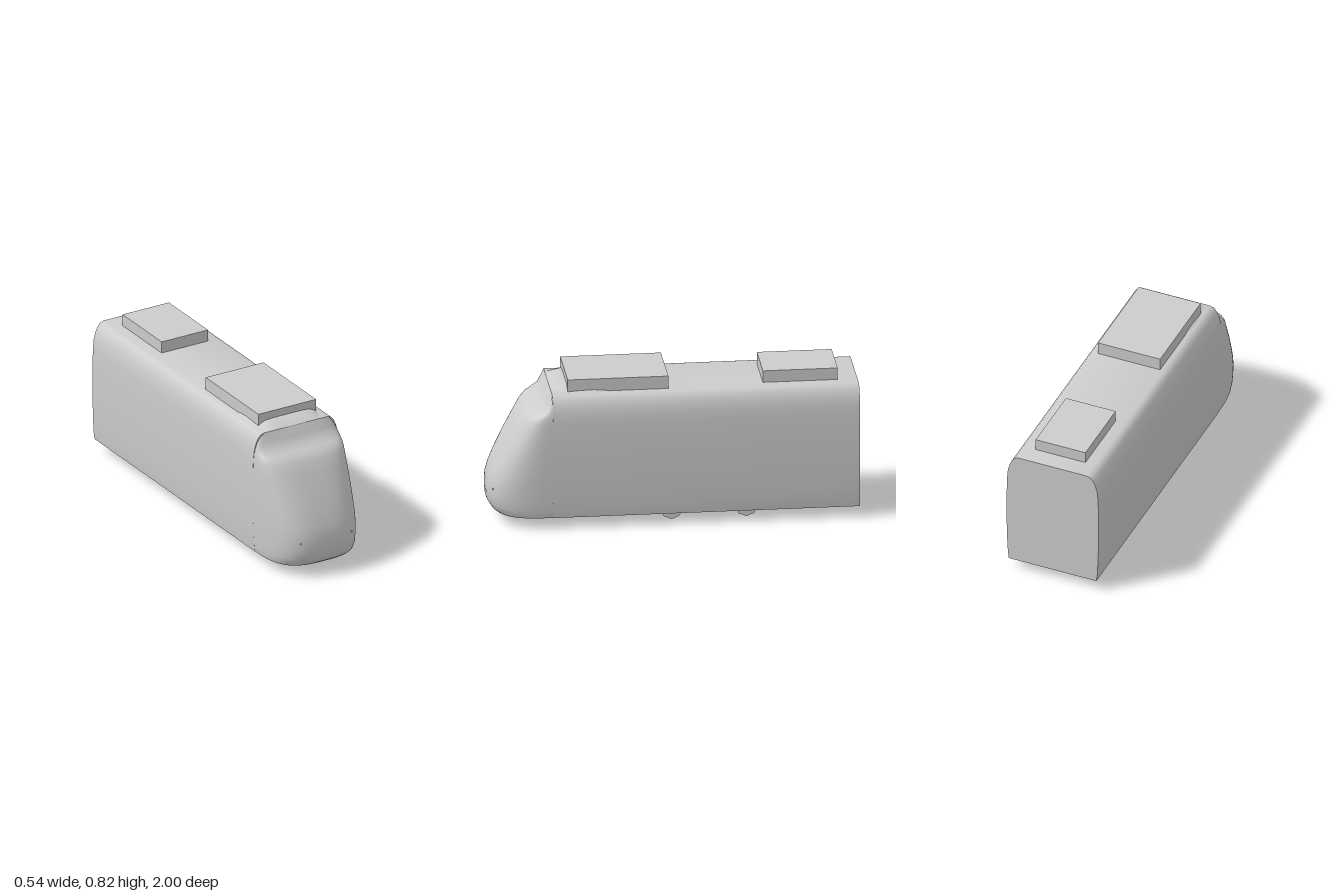
import * as THREE from 'three';
import { toCreasedNormals } from 'three/addons/utils/BufferGeometryUtils.js';

// Skin a list of cross-sections, each with the same number of points
function loft(rows, crease) {
  const n = rows[0].length, index = [];
  for (let i = 0; i < rows.length - 1; i++) {
    for (let j = 0; j < n - 1; j++) {
      const a = i * n + j, b = a + n;
      index.push(a, b, a + 1, a + 1, b, b + 1);
    }
  }
  const g = new THREE.BufferGeometry();
  g.setAttribute('position', new THREE.Float32BufferAttribute(rows.flat(2), 3));
  g.setIndex(index);
  return toCreasedNormals(g, crease);
}

export function createModel() {
  const model = new THREE.Group();
  model.name = 'tramCar';
  const grey = new THREE.MeshStandardMaterial({ color: 0xcccccc, side: THREE.DoubleSide });
  grey.name = 'plain grey';

  const add = (name, geometry, x = 0, y = 0, z = 0) => {
    const mesh = new THREE.Mesh(geometry, grey);
    mesh.name = name;
    mesh.position.set(x, y, z);
    model.add(mesh);
    return mesh;
  };

  // Body: one half section mirrored and run along the length
  const half = [
    [0.257, 0.06], [0.262, 0.1], [0.266, 0.18], [0.27, 0.32], [0.27, 0.48], [0.267, 0.6],
    [0.262, 0.655], [0.253, 0.69], [0.24, 0.72], [0.222, 0.742], [0.2, 0.75],
  ];
  const section = [...half, ...half.slice().reverse().map(([x, y]) => [-x, y])];
  const shape = new THREE.Shape(section.map(([x, y]) => new THREE.Vector2(x, y)));
  const joint = 0.66;
  add('body', toCreasedNormals(
    new THREE.ExtrudeGeometry(shape, { depth: 1 + joint, bevelEnabled: false }), 0.6), 0, 0, -1);

  // Cab: rounded plan outlines stacked upwards as [height, half width, foremost z]
  const cabRows = [
    [0.06, 0, joint], [0.06, 0.255, 0.955], [0.075, 0.259, 0.975], [0.11, 0.262, 0.996],
    [0.16, 0.265, 1.0], [0.22, 0.267, 0.998], [0.28, 0.269, 0.98], [0.36, 0.27, 0.945],
    [0.45, 0.27, 0.9], [0.54, 0.268, 0.85], [0.6, 0.266, 0.815], [0.627, 0.263, 0.79],
    [0.645, 0.26, 0.755], [0.668, 0.255, 0.71], [0.7, 0.242, 0.69], [0.73, 0.222, 0.672],
    [0.75, 0.2, joint],
  ];
  const steps = 40;
  add('cab', loft(cabRows.map(([y, w, front]) => Array.from({ length: steps + 1 }, (_, j) => {
    const t = (j / steps) * Math.PI, c = Math.cos(t);
    return [
      w * Math.sign(c) * Math.abs(c) ** (2 / 3), y,
      joint + (front - joint) * Math.max(0, Math.sin(t)) ** (2 / 3),
    ];
  })), 0.75));

  // Roof fairing: low swelling as [z, height, half width]
  const fairingRows = [
    [0.66, 0, 0.165], [0.62, 0.019, 0.175], [0.57, 0.03, 0.188], [0.45, 0.027, 0.2],
    [0.385, 0.02, 0.2], [0.35, 0, 0.185],
  ];
  const arch = [[1, 0], [0.87, 0.55], [0.72, 0.9], [0.5, 0.98], [0, 1],
    [-0.5, 0.98], [-0.72, 0.9], [-0.87, 0.55], [-1, 0]];
  add('roofFairing', loft(fairingRows.map(([z, h, w]) =>
    arch.map(([x, y]) => [x * w, 0.749 + y * h, z])), 0.6));

  // Roof equipment boxes
  add('frontRoofBox', new THREE.BoxGeometry(0.364, 0.072, 0.545), 0, 0.785, 0.3);
  add('rearRoofBox', new THREE.BoxGeometry(0.292, 0.068, 0.405), 0, 0.782, -0.69);

  // Wheels and headlamps, mirrored
  for (const [side, s] of [['left', 1], ['right', -1]]) {
    for (const [place, z] of [['Front', 0.01], ['Rear', -0.395]]) {
      const wheel = new THREE.CylinderGeometry(0.06, 0.06, 0.022, 8);
      wheel.rotateZ(Math.PI / 2);
      add(`${side}${place}Wheel`, wheel, s * 0.171, 0.06, z);
    }
    const lamp = new THREE.CylinderGeometry(0.006, 0.006, 0.012, 12);
    lamp.rotateX(Math.PI / 2);
    add(`${side}Headlamp`, lamp, s * 0.157, 0.203, 0.972);
  }
  return model;
}
